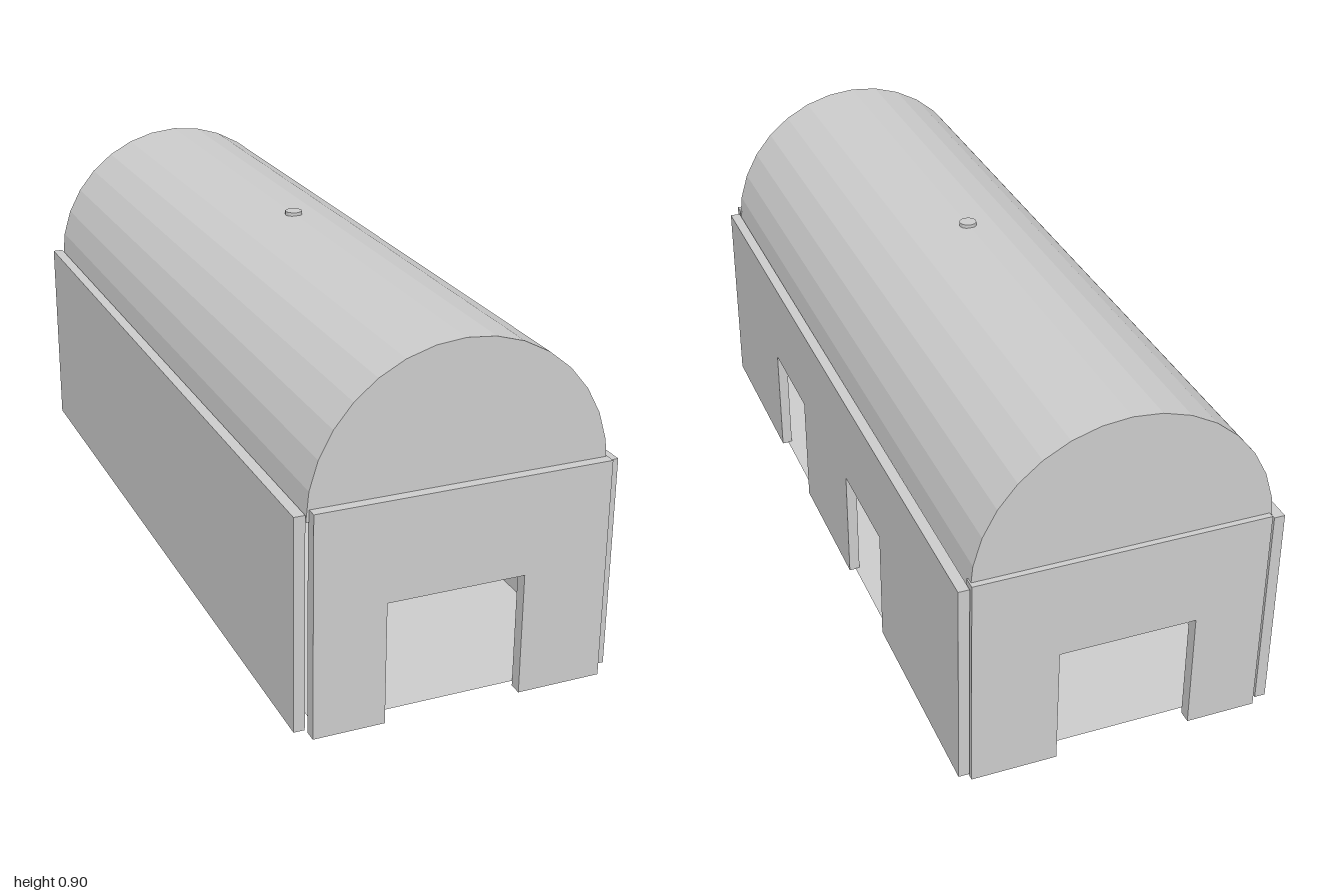
import * as THREE from 'three';

const grey = new THREE.MeshStandardMaterial({ color: 0xcccccc, flatShading: true, side: THREE.DoubleSide });

function add(parent, name, geometry, x = 0, y = 0, z = 0) {
  const mesh = new THREE.Mesh(geometry, grey);
  mesh.name = name;
  mesh.position.set(x, y, z);
  parent.add(mesh);
  return mesh;
}

// Upright slab from a to b, with doorways [from, to, head height] cut up from its foot
function wallGeometry(a, b, foot, top, depth, doors = []) {
  const shape = new THREE.Shape();
  shape.moveTo(a, foot);
  for (const [from, to, head] of doors) {
    shape.lineTo(from, foot);
    shape.lineTo(from, head);
    shape.lineTo(to, head);
    shape.lineTo(to, foot);
  }
  shape.lineTo(b, foot);
  shape.lineTo(b, top);
  shape.lineTo(a, top);
  shape.closePath();
  return new THREE.ExtrudeGeometry(shape, { depth, bevelEnabled: false });
}

export function createModel() {
  const hall = new THREE.Group();
  hall.name = 'vaultedHall';

  // End walls, each with one wide doorway
  const gateway = [[-0.186, 0.155, 0.307]];
  const endWall = () => wallGeometry(-0.362, 0.367, 0, 0.556, 0.032, gateway);
  add(hall, 'frontWall', endWall(), 0, 0, 0.968);
  add(hall, 'backWall', endWall(), 0, 0, -1);

  // Long walls: two doorways on the left, none on the right
  const sideDoors = [[-0.44, -0.165, 0.31], [0.22, 0.495, 0.31]];
  const sideWall = (doors) => wallGeometry(-0.993, 0.975, 0.012, 0.545, 0.027, doors).rotateY(-Math.PI / 2);
  add(hall, 'leftWall', sideWall(sideDoors), 0.396);
  add(hall, 'rightWall', sideWall([]), -0.371);

  // Thin floor, stopping short of the right wall
  add(hall, 'floor', new THREE.PlaneGeometry(0.725, 1.935).rotateX(-Math.PI / 2), 0.0175, 0.014, 0.002);

  // Barrel roof: open half cylinder with a half disc at each end
  const radius = 0.368, back = -0.985, front = 0.975;
  const roof = new THREE.Group();
  roof.name = 'barrelRoof';
  roof.position.set(-0.002, 0.527, 0);
  hall.add(roof);
  const vault = new THREE.CylinderGeometry(radius, radius, front - back, 16, 1, true, -Math.PI / 2, Math.PI);
  vault.rotateX(-Math.PI / 2);
  add(roof, 'vault', vault, 0, 0, (front + back) / 2);
  const gable = () => new THREE.CircleGeometry(radius, 16, 0, Math.PI);
  add(roof, 'frontGable', gable(), 0, 0, front);
  add(roof, 'backGable', gable().rotateY(Math.PI), 0, 0, back);

  // Small round cap on the ridge
  add(hall, 'ridgeCap', new THREE.CylinderGeometry(0.022, 0.022, 0.012, 12), -0.002, 0.897, -0.004);

  return hall;
}
